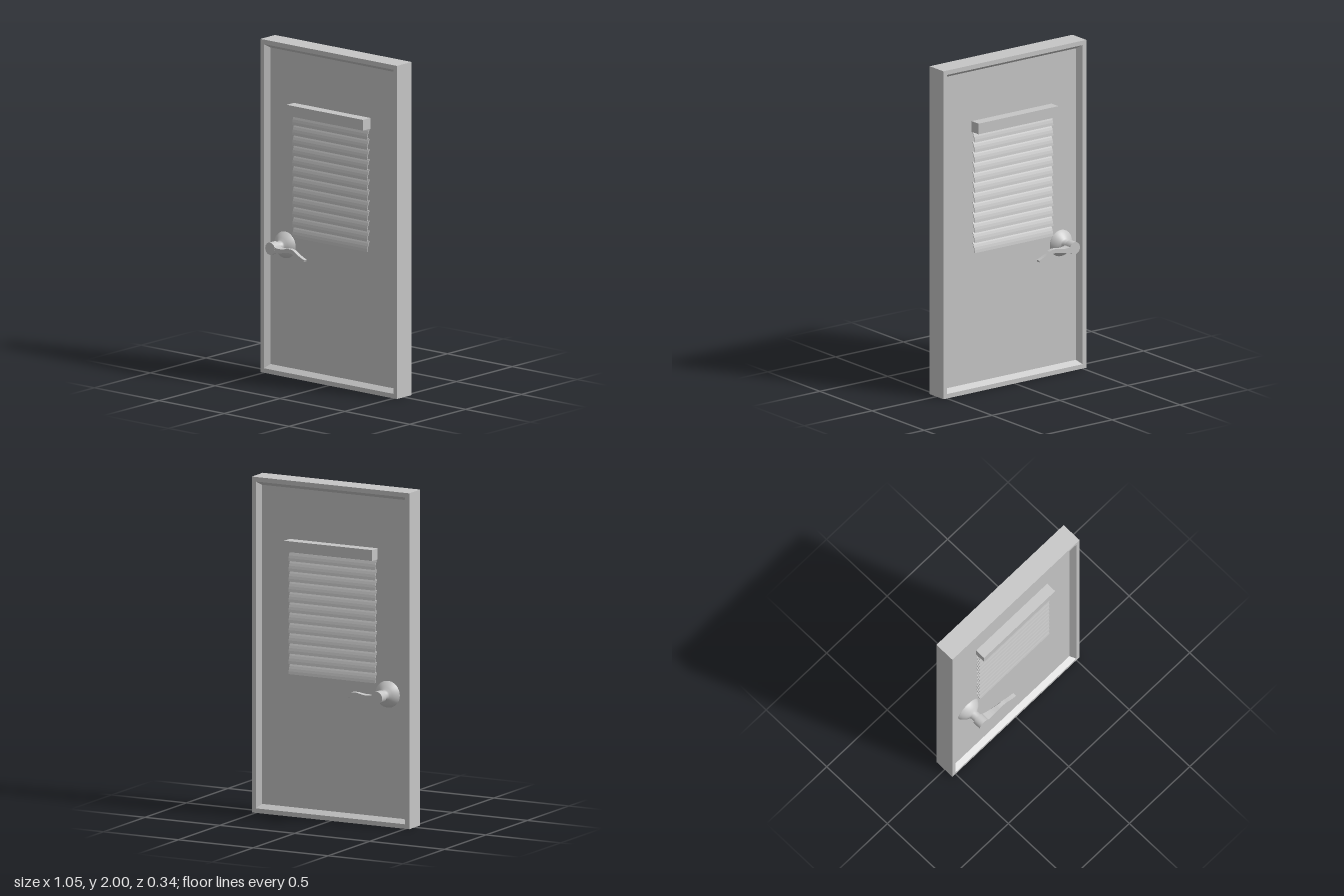
import * as THREE from 'three';

const W = 0.526, H = 2, FACE = 0.066, PANEL = 0.032;

// Copy of a geometry reflected to the back of the door
function mirrorZ(geometry) {
  const g = geometry.index ? geometry.toNonIndexed() : geometry.clone();
  g.scale(1, 1, -1);
  for (const attr of Object.values(g.attributes)) {
    const n = attr.itemSize, a = attr.array;
    for (let i = 0; i < attr.count; i += 3)
      for (let k = 0; k < n; k++) {
        const t = a[(i + 1) * n + k];
        a[(i + 1) * n + k] = a[(i + 2) * n + k];
        a[(i + 2) * n + k] = t;
      }
  }
  return g;
}

// Half frame: rectangular loops from the outer edge, over the rim, down the bevel
function frameGeometry() {
  const loop = (inset, z) => [
    [-W + inset, inset, z], [W - inset, inset, z],
    [W - inset, H - inset, z], [-W + inset, H - inset, z],
  ];
  const loops = [loop(0, 0), loop(0, FACE), loop(0.027, FACE), loop(0.05, PANEL)];
  const pos = [];
  for (let l = 0; l < loops.length - 1; l++)
    for (let i = 0; i < 4; i++) {
      const j = (i + 1) % 4;
      const a = loops[l][i], b = loops[l][j], c = loops[l + 1][j], d = loops[l + 1][i];
      pos.push(...a, ...b, ...c, ...a, ...c, ...d);
    }
  const g = new THREE.BufferGeometry();
  g.setAttribute('position', new THREE.Float32BufferAttribute(pos, 3));
  g.computeVertexNormals();
  return g;
}

// One thin, slightly bowed slat; its lower edge stands out from the panel
function slatGeometry(height, width) {
  const t = 0.005;
  const s = new THREE.Shape();
  s.moveTo(0.036, height);
  s.quadraticCurveTo(0.052, height * 0.55, 0.057, 0);
  s.lineTo(0.057 - t, 0);
  s.quadraticCurveTo(0.052 - t, height * 0.55, 0.036 - t, height);
  const g = new THREE.ExtrudeGeometry(s, { depth: width, bevelEnabled: false, curveSegments: 4 });
  g.rotateY(-Math.PI / 2);
  g.translate(width / 2, 0, 0);
  return g;
}

// Curved lever whose inner side tapers away from the hub
function leverGeometry() {
  const s = new THREE.Shape();
  s.moveTo(0.015, 0.018);
  s.quadraticCurveTo(0.06, 0.002, 0.11, 0.014);
  s.quadraticCurveTo(0.165, 0.03, 0.195, 0.005);
  s.quadraticCurveTo(0.225, -0.016, 0.263, -0.028);
  s.lineTo(0.258, -0.041);
  s.quadraticCurveTo(0.215, -0.031, 0.18, -0.012);
  s.quadraticCurveTo(0.155, 0.002, 0.11, -0.008);
  s.quadraticCurveTo(0.06, -0.022, 0.015, -0.023);
  const g = new THREE.ExtrudeGeometry(s, { depth: 0.05, bevelEnabled: false, curveSegments: 6 });
  const p = g.attributes.position;
  for (let i = 0; i < p.count; i++)
    if (p.getZ(i) < 0.01)
      p.setZ(i, 0.026 * THREE.MathUtils.clamp((p.getX(i) - 0.035) / 0.11, 0, 1));
  g.computeVertexNormals();
  return g;
}

export function createModel() {
  const grey = new THREE.MeshStandardMaterial({ color: 0xc6c6c6 });
  grey.name = 'grey';
  const model = new THREE.Group();
  model.name = 'door';
  model.position.z = -0.002;

  const add = (name, geometry, parent = model) => {
    const m = new THREE.Mesh(geometry, grey);
    m.name = name;
    parent.add(m);
  };
  // Same part on the front and the back
  const addBoth = (name, geometry, parents) => {
    add(name + 'Front', geometry, parents[0]);
    add(name + 'Back', mirrorZ(geometry), parents[1]);
  };
  const pair = (name) => ['Front', 'Back'].map((side) => {
    const g = new THREE.Group();
    g.name = name + side;
    model.add(g);
    return g;
  });

  // Door leaf
  addBoth('frame', frameGeometry(), [model, model]);
  add('panel', new THREE.BoxGeometry(2 * W - 0.1, H - 0.1, 2 * PANEL).translate(0, H / 2, 0));

  // Blinds
  const blinds = pair('blind');
  addBoth('headRail', new THREE.BoxGeometry(0.588, 0.065, 0.066)
    .translate(-0.002, 1.613, PANEL + 0.033), blinds);
  const count = 12, bottom = 0.845, pitch = (1.58 - bottom) / count;
  for (let i = 0; i < count; i++)
    addBoth('slat' + (i + 1), slatGeometry(pitch, 0.578)
      .translate(-0.002, bottom + i * pitch, 0), blinds);

  // Handles: rose and neck, hub, lever
  const handles = pair('handle');
  const hx = -0.364, hy = 0.783;
  const rose = [[0.08, PANEL], [0.079, 0.037], [0.066, 0.054], [0.05, 0.069],
    [0.036, 0.077], [0.029, 0.085], [0.028, 0.118]].map(([r, z]) => new THREE.Vector2(r, z));
  addBoth('rose', new THREE.LatheGeometry(rose, 32).rotateX(Math.PI / 2)
    .translate(hx, hy, 0), handles);
  addBoth('hub', new THREE.CylinderGeometry(0.037, 0.037, 0.051, 32).rotateX(Math.PI / 2)
    .translate(hx, hy, 0.1425), handles);
  addBoth('lever', leverGeometry().translate(hx, hy, 0.1175), handles);

  return model;
}
